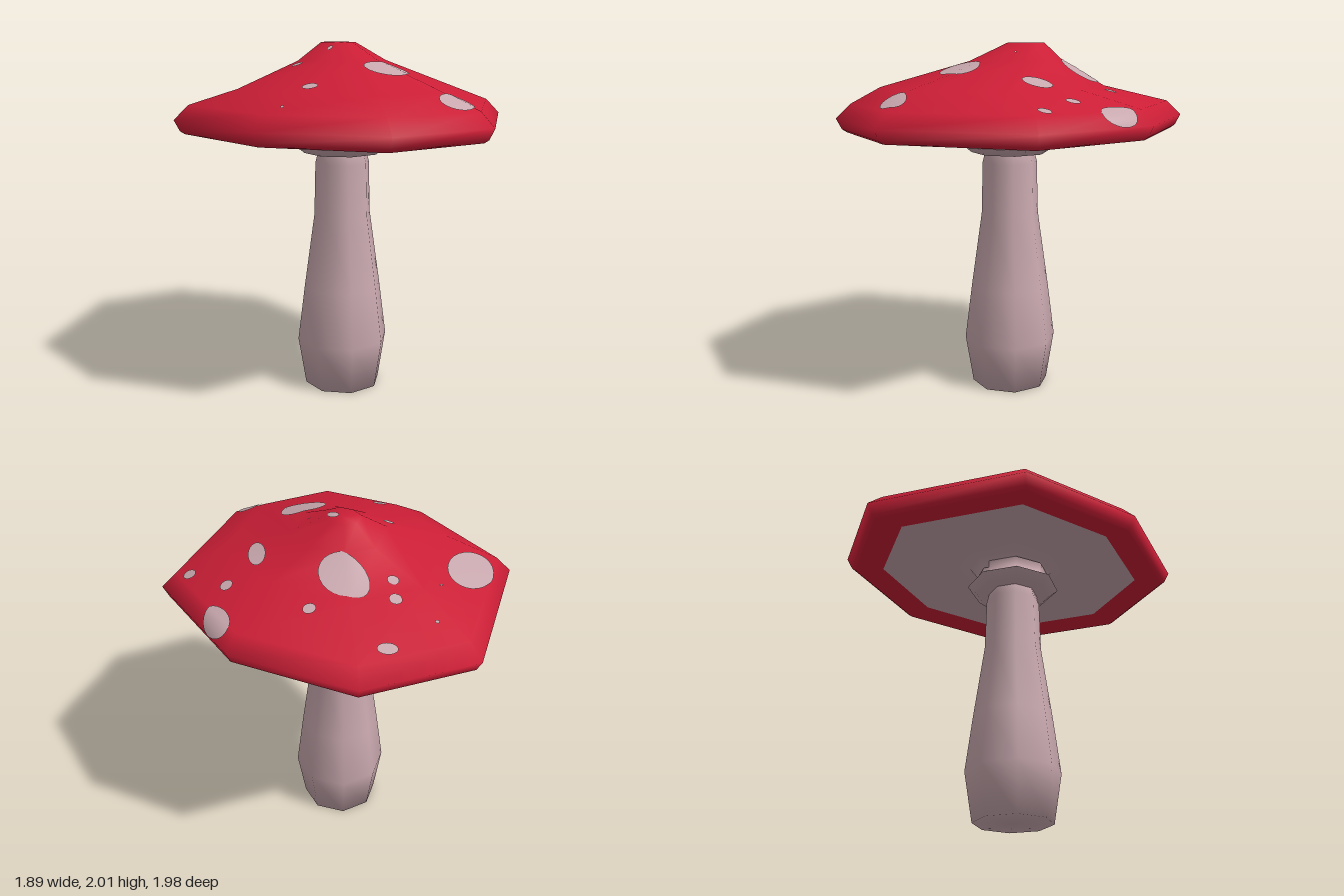
import * as THREE from 'three';

const red = new THREE.MeshStandardMaterial({ color: 0xcc1e36 });
red.name = 'capRed';
const pale = new THREE.MeshStandardMaterial({ color: 0xc8a8ae });
pale.name = 'paleFlesh';

// Uneven eight-sided rim of the cap, as x, z
const RIM = [
  [0.945, 0], [0.6, 0.76], [0, 0.985], [-0.6, 0.64],
  [-0.945, 0], [-0.6, -0.83], [0, -0.99], [0.6, -0.65],
];

// Skin through scaled copies of the rim: each ring is [scale, y, offsetX, offsetZ]
function rimLoft(rings) {
  const pos = [], index = [], n = RIM.length;
  for (const [s, y, ox = 0, oz = 0] of rings) {
    for (const [x, z] of RIM) pos.push(x * s + ox, y, z * s + oz);
  }
  for (let i = 0; i < rings.length - 1; i++) {
    for (let j = 0; j < n; j++) {
      const k = (j + 1) % n;
      const a = i * n + j, b = i * n + k, c = a + n, d = b + n;
      index.push(a, c, b, b, c, d);
    }
  }
  const g = new THREE.BufferGeometry();
  g.setAttribute('position', new THREE.Float32BufferAttribute(pos, 3));
  g.setIndex(index);
  g.computeVertexNormals();
  return g;
}

function addMesh(parent, geometry, material, name) {
  const m = new THREE.Mesh(geometry, material);
  m.name = name;
  parent.add(m);
  return m;
}

// Eight-sided turned part from [radius, y] pairs
const turned = (pts) =>
  new THREE.LatheGeometry(pts.map(([r, y]) => new THREE.Vector2(r, y)), 8);

// Thin elliptical patch draped over the cap, facing up
function drapedSpot(cap, [cx, cz, a, b, deg = 0]) {
  const SEG = 24, RINGS = 6, t = THREE.MathUtils.degToRad(deg);
  const ray = new THREE.Raycaster(), down = new THREE.Vector3(0, -1, 0);
  const pos = [], nor = [], index = [];
  for (let i = 0; i <= RINGS; i++) {
    for (let j = 0; j < SEG; j++) {
      const ang = (j / SEG) * Math.PI * 2;
      const u = (a * Math.cos(ang) * i) / RINGS, v = (b * Math.sin(ang) * i) / RINGS;
      const x = cx + u * Math.cos(t) - v * Math.sin(t);
      const z = cz + u * Math.sin(t) + v * Math.cos(t);
      ray.set(new THREE.Vector3(x, 3, z), down);
      const hit = ray.intersectObject(cap)[0];
      const normal = hit ? hit.normal : new THREE.Vector3(0, 1, 0);
      const p = hit ? hit.point : new THREE.Vector3(x, 1.59, z);
      p.addScaledVector(normal, 0.006);
      pos.push(p.x, p.y, p.z);
      nor.push(normal.x, normal.y, normal.z);
      if (i < RINGS) {
        const k = (j + 1) % SEG, q = i * SEG;
        index.push(q + j, q + k, q + SEG + j, q + k, q + SEG + k, q + SEG + j);
      }
    }
  }
  const g = new THREE.BufferGeometry();
  g.setAttribute('position', new THREE.Float32BufferAttribute(pos, 3));
  g.setAttribute('normal', new THREE.Float32BufferAttribute(nor, 3));
  g.setIndex(index);
  return g;
}

// Spots: centre x, centre z, radii, turn in degrees
const SPOTS = [
  [-0.675, -0.18, 0.185, 0.115, -60], [0.01, -0.385, 0.14, 0.095, 40],
  [0.64, -0.455, 0.11, 0.055, 65], [0.165, 0.305, 0.125, 0.108, -15],
  [0.43, 0.66, 0.1, 0.065, -15], [0.43, -0.075, 0.083, 0.044, 80],
  [-0.15, -0.81, 0.05, 0.035], [-0.23, -0.5, 0.033, 0.035],
  [-0.23, -0.4, 0.03, 0.022], [0.19, -0.52, 0.033, 0.033],
  [0.59, -0.23, 0.032, 0.038], [0.785, -0.055, 0.032, 0.035],
  [0.035, -0.07, 0.03, 0.028], [-0.27, 0.06, 0.03, 0.022],
  [-0.085, 0.05, 0.022, 0.012, -45], [-0.28, 0.47, 0.04, 0.035],
  [-0.41, -0.645, 0.011, 0.011], [-0.44, 0.59, 0.009, 0.009],
  [-0.48, -0.37, 0.012, 0.006, -30], [0.15, 0, 0.01, 0.005],
];

export function createModel() {
  const model = new THREE.Group();
  model.name = 'mushroom';

  // Stem with bulbous, closed foot
  const stem = new THREE.Group();
  stem.name = 'stem';
  stem.position.set(-0.008, 0, 0.012);
  model.add(stem);
  addMesh(stem, turned([
    [0, 0], [0.222, 0], [0.267, 0.28], [0.226, 0.6], [0.165, 1.03],
    [0.157, 1.33], [0.14, 1.4],
  ]), pale, 'stalk');

  // Collar under the cap
  addMesh(stem, turned([[0.1, 1.385], [0.22, 1.388], [0.272, 1.43]]), pale, 'collarUnderside');
  addMesh(stem, turned([[0.272, 1.43], [0.2, 1.475], [0.215, 1.53]]), pale, 'collarTop');

  // Cap with turned-under lip, rising to an off-centre peak
  const cap = addMesh(model, rimLoft([
    [0.78, 1.535], [0.94, 1.512], [0.968, 1.53], [1, 1.59], [0.915, 1.67],
    [0.64, 1.76, 0, 0.105], [0.268, 1.9, 0, -0.025],
    [0.105, 2, -0.01, -0.08], [0, 2, -0.01, -0.08],
  ]), red, 'cap');

  // Gills, flaring out from the collar
  addMesh(model, rimLoft([
    [0.205, 1.5], [0.25, 1.56], [0.4, 1.58], [0.78, 1.535],
  ]), pale, 'gills');

  // Pale spots on the cap
  const spots = new THREE.Group();
  spots.name = 'spots';
  model.add(spots);
  for (const s of SPOTS) addMesh(spots, drapedSpot(cap, s), pale, 'spot');
  return model;
}
